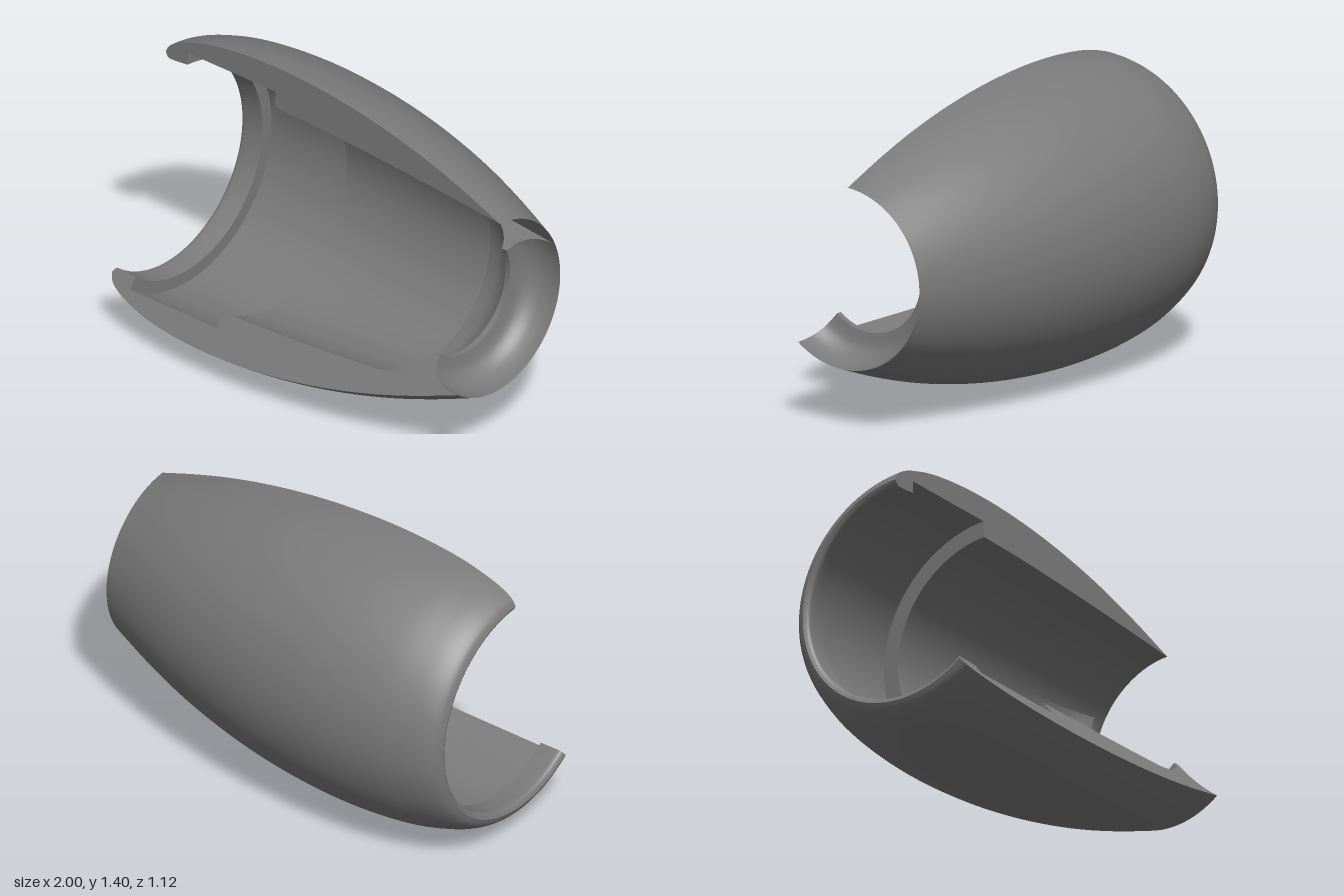
import * as THREE from 'three';

const DEG = Math.PI / 180;
const material = new THREE.MeshStandardMaterial({ color: 0x7a7a7a });
const capMaterial = new THREE.MeshStandardMaterial({ color: 0x7a7a7a, side: THREE.DoubleSide });

const toVectors = (pairs) => pairs.map(([x, r]) => new THREE.Vector2(x, r));
const smooth = (pairs, n = 40) => new THREE.SplineCurve(toVectors(pairs)).getPoints(n);

// Sweeps a profile of [axial position, radius] sections around the x axis and
// closes both ends. Sections meet at sharp edges; each one is smooth in itself.
// Angle 0 points to +z, 90 down, 180 to -z, 270 up.
function sweptBody(name, sections, startDeg, endDeg) {
  const body = new THREE.Group();
  body.name = name;
  const start = startDeg * DEG;
  const length = (endDeg - startDeg) * DEG;

  for (const [part, points] of Object.entries(sections)) {
    const profile = points.map((p) => new THREE.Vector2(p.y, p.x));
    const geometry = new THREE.LatheGeometry(profile, 96, start, length);
    geometry.rotateZ(-Math.PI / 2);
    const mesh = new THREE.Mesh(geometry, material);
    mesh.name = part;
    body.add(mesh);
  }

  // Flat cut faces at both ends of the sweep
  const outline = new THREE.Shape(Object.values(sections).flatMap((s) => s.slice(0, -1)));
  for (const [part, angle] of [['lowerCutFace', start], ['upperCutFace', start + length]]) {
    const geometry = new THREE.ShapeGeometry(outline);
    geometry.rotateX(angle + Math.PI / 2);
    const mesh = new THREE.Mesh(geometry, capMaterial);
    mesh.name = part;
    body.add(mesh);
  }
  return body;
}

export function createModel() {
  const model = new THREE.Group();
  model.name = 'cutawayCowl';

  // Main cowl: bulging skin, tapered bore, wide recess and rounded front lip
  const cowl = sweptBody('cowl', {
    outerSkin: smooth([
      [-1, 0.54], [-0.98, 0.575], [-0.93, 0.608], [-0.85, 0.638], [-0.72, 0.671],
      [-0.55, 0.692], [-0.37, 0.7], [-0.2, 0.696], [0, 0.68], [0.2, 0.652],
      [0.4, 0.612], [0.6, 0.56], [0.8, 0.495], [1, 0.42],
    ], 80),
    bore: smooth([[1, 0.42], [0.5, 0.461], [0, 0.492], [-0.347, 0.502]], 20),
    recessRearStep: toVectors([[-0.347, 0.502], [-0.347, 0.58]]),
    recessFloor: toVectors([[-0.347, 0.58], [-0.87, 0.58]]),
    recessFrontStep: toVectors([[-0.87, 0.58], [-0.87, 0.521]]),
    frontLip: smooth([[-0.87, 0.521], [-0.95, 0.514], [-0.985, 0.517], [-1, 0.54]], 20),
  }, 52.9, 267);

  // Throat ring inside the narrow end, covering a shorter arc; its seat is sunk into the cowl
  const throatRing = sweptBody('throatRing', {
    seat: toVectors([[0.55, 0.457], [0.6, 0.465], [0.9, 0.438], [1, 0.42]]),
    flare: smooth([[1, 0.42], [0.945, 0.418], [0.885, 0.4], [0.838, 0.357], [0.818, 0.29]], 24),
    throat: toVectors([[0.818, 0.29], [0.79, 0.29]]),
    ramp: smooth([[0.79, 0.29], [0.76, 0.34], [0.71, 0.388], [0.64, 0.43], [0.55, 0.457]], 24),
  }, 52.9, 203);

  model.add(cowl, throatRing);
  model.children.forEach((part) => part.position.set(0, 0.7, 0.14));
  return model;
}
